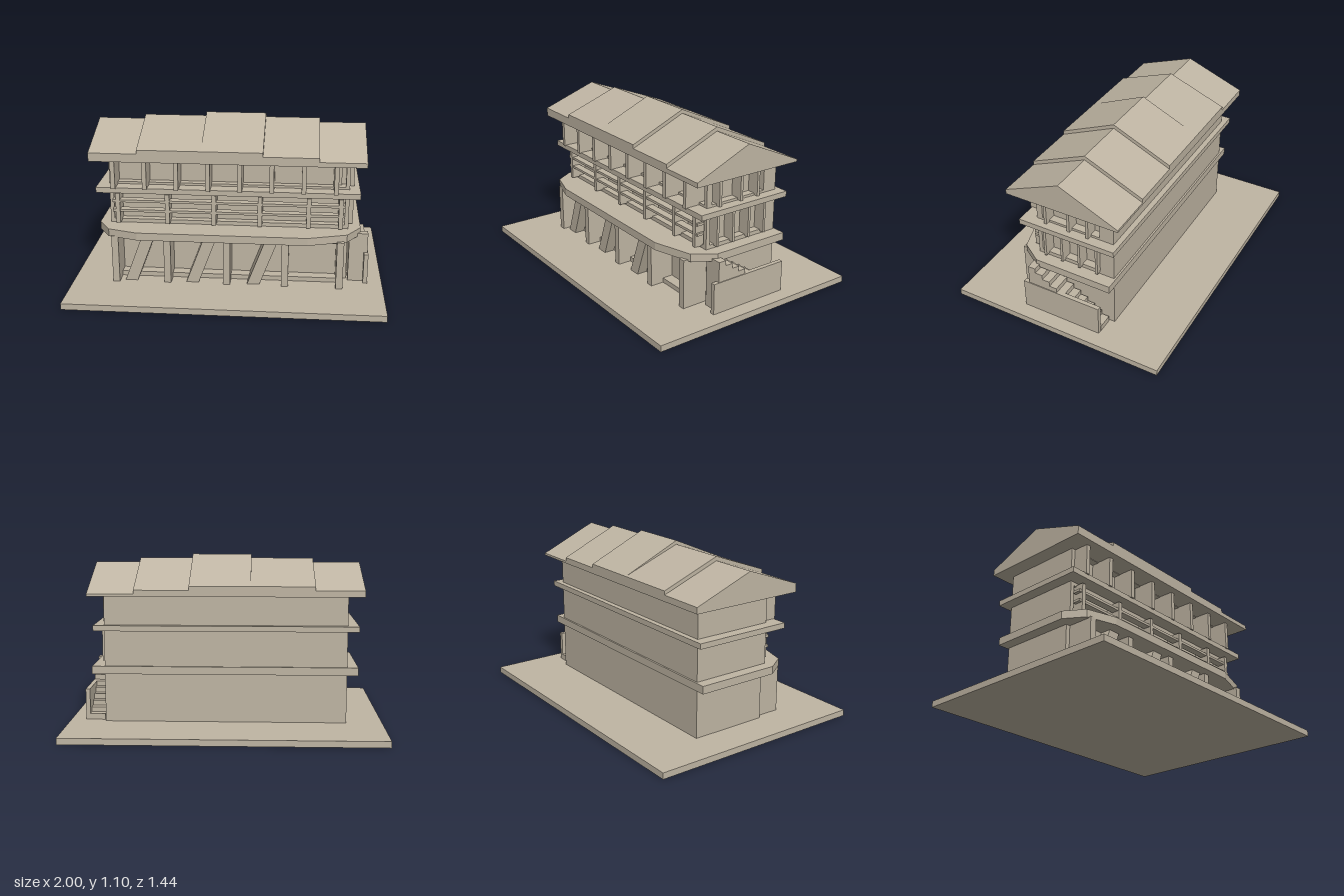
import * as THREE from 'three';

export function createModel() {
  const root = new THREE.Group();
  const stone = new THREE.MeshStandardMaterial({ color: 0xbfb5a3, flatShading: true });
  stone.name = 'stone';

  const add = (name, geo, parent = root) => {
    const m = new THREE.Mesh(geo, stone);
    m.name = name;
    parent.add(m);
    return m;
  };
  const group = (name) => {
    const g = new THREE.Group();
    g.name = name;
    root.add(g);
    return g;
  };
  // Box given by its limits on each axis
  const box = (name, x0, x1, y0, y1, z0, z1, parent) =>
    add(name, new THREE.BoxGeometry(x1 - x0, y1 - y0, z1 - z0)
      .translate((x0 + x1) / 2, (y0 + y1) / 2, (z0 + z1) / 2), parent);
  const extrude = (pts, depth) => new THREE.ExtrudeGeometry(
    new THREE.Shape(pts.map(([a, b]) => new THREE.Vector2(a, b))), { depth, bevelEnabled: false });

  // Ground plate
  box('basePlate', -1, 1, 0, 0.04, -0.72, 0.72);

  // Ground floor: wall, deep columns, slanted struts, ledge and lintel
  const ground = group('groundFloor');
  box('groundWall', -0.77, 0.77, 0.04, 0.36, -0.305, 0.2, ground);
  box('ledge', -0.74, 0.72, 0.04, 0.07, 0.2, 0.27, ground);
  box('lintel', -0.74, 0.72, 0.31, 0.36, 0.2, 0.27, ground);
  for (const x of [-0.72, -0.385, -0.002, 0.372, 0.72])
    box('groundColumn', x - 0.022, x + 0.022, 0.04, 0.358, 0.19, x > 0.7 || x < -0.7 ? 0.37 : 0.36, ground);
  for (const x of [-0.665, -0.265, 0.13])
    add('slantedStrut', extrude([[x, 0.04], [x + 0.08, 0.04], [x + 0.198, 0.355], [x + 0.118, 0.355]], 0.15)
      .translate(0, 0, 0.19), ground);

  // First slab with a faceted front edge
  const outline = [[-0.84, -0.317], [0.85, -0.317], [0.85, 0.2], [0.76, 0.335], [0.51, 0.412],
    [-0.57, 0.412], [-0.76, 0.355], [-0.84, 0.23]];
  add('balconySlab', extrude(outline.map(([x, z]) => [x, -z]).reverse(), 0.05)
    .rotateX(-Math.PI / 2).translate(0, 0.35, 0));
  box('upperSlab', -0.84, 0.835, 0.63, 0.665, -0.34, 0.315);

  // Storey with openings set back on the front and the +x end
  const storey = (name, y0, y1, sill, head, zBack, zFront) => {
    const g = group(name);
    box('coreWall', -0.73, 0.72, y0, y1, -0.27, 0.18, g);
    box('backWall', -0.77, 0.77, y0, y1, -0.305, -0.265, g);
    box('plainEndWall', -0.77, -0.745, y0, y1, -0.27, 0.227, g);
    box('backPier', 0.71, 0.77, y0, y1, -0.27, zBack, g);
    box('cornerPier', 0.745, 0.77, y0, y1, zFront, 0.227, g);
    for (const [a, b] of [[y0, sill], [head, y1]]) {
      box('frontBand', -0.75, 0.75, a, b, 0.17, 0.227, g);
      box('endBand', 0.71, 0.77, a, b, zBack, zFront + 0.01, g);
    }
    return g;
  };

  // Middle storey: posts and horizontal rails
  const middle = storey('middleStorey', 0.4, 0.63, 0.425, 0.607, -0.21, 0.2);
  for (const x of [-0.71, -0.39, -0.09, 0.205, 0.515, 0.718])
    box('frontPost', x - 0.014, x + 0.014, 0.415, 0.615, 0.17, 0.28, middle);
  for (const y of [0.498, 0.563])
    box('rail', -0.745, 0.745, y - 0.008, y + 0.008, 0.225, 0.275, middle);
  for (const z of [0.162, 0.043, -0.078, -0.2])
    box('endPost', 0.71, 0.8, 0.415, 0.615, z - 0.008, z + 0.008, middle);

  // Top storey: deep vertical fins
  const top = storey('topStorey', 0.66, 0.86, 0.68, 0.852, -0.21, 0.188);
  for (let i = 0; i < 8; i++) {
    const x = -0.727 + i * 0.2012;
    box('frontFin', x - 0.014, x + 0.014, 0.66, 0.858, 0.17, 0.325, top);
  }
  for (const z of [0.148, -0.012, -0.142])
    box('endFin', 0.71, 0.8, 0.668, 0.858, z - 0.009, z + 0.009, top);

  // Stepped roof: [x start, x end, ridge, front eave, back eave]
  const roof = group('roof');
  for (const [x0, x1, ridge, front, back] of [
    [-0.865, -0.56, 1.043, 0.91, 0.895],
    [-0.56, -0.16, 1.07, 0.935, 0.92],
    [-0.16, 0.225, 1.095, 0.935, 0.92],
    [0.225, 0.57, 1.07, 0.91, 0.895],
    [0.57, 0.863, 1.043, 0.885, 0.87],
  ])
    add('roofSection', extrude([[-0.372, 0.855], [0.388, 0.855], [0.388, back], [0, ridge], [-0.372, front]], x1 - x0)
      .rotateY(Math.PI / 2).translate(x0, 0, 0), roof);

  // Outside stair descending toward the back, with a parapet
  const stair = group('sideStair');
  for (let i = 0; i < 10; i++) {
    const z = 0.23 - i * 0.05;
    box('step', 0.78, i < 4 ? 0.9 : 0.88, 0.04, 0.37 - i * 0.0325, z - 0.05, z, stair);
  }
  box('parapet', 0.877, 0.905, 0.04, 0.24, -0.268, 0.268, stair);

  return root;
}
